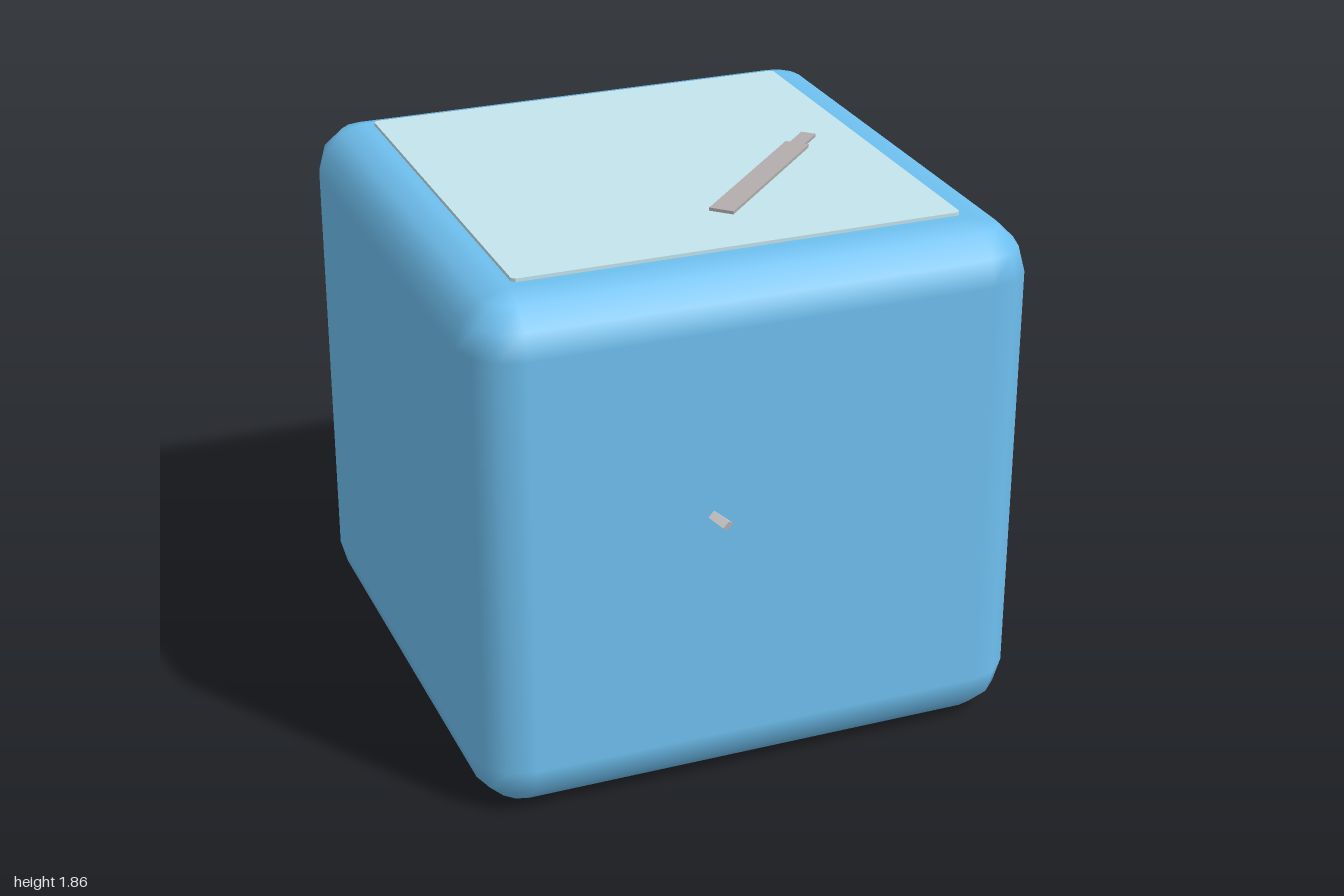
import * as THREE from 'three';

const mat = (color) => new THREE.MeshStandardMaterial({ color });

// Rounded box: a sphere grid with 30-degree steps whose octants are pulled apart
function roundedBox(w, h, d, r) {
  const geo = new THREE.PlaneGeometry(1, 1, 16, 9);
  const pos = geo.attributes.position;
  const nor = geo.attributes.normal;
  const step = Math.PI / 6;
  for (let row = 0; row < 10; row++) {
    const cap = row === 0 || row === 9;
    const k = Math.min(Math.max(row - 1, 0), 7);
    const lower = k > 3;
    const theta = (lower ? k - 1 : k) * step;
    for (let col = 0; col < 17; col++) {
      const quad = Math.floor(col / 4);
      const a = (quad * 3 + (col % 4)) * step;
      const mid = (quad + 0.5) * Math.PI / 2;
      const n = new THREE.Vector3(Math.sin(theta) * Math.sin(a), Math.cos(theta), Math.sin(theta) * Math.cos(a));
      const i = row * 17 + col;
      const spread = cap ? 0 : 1;
      pos.setXYZ(i,
        n.x * r + spread * Math.sign(Math.sin(mid)) * (w / 2 - r),
        n.y * r + (lower ? -1 : 1) * (h / 2 - r),
        n.z * r + spread * Math.sign(Math.cos(mid)) * (d / 2 - r));
      nor.setXYZ(i, n.x, n.y, n.z);
    }
  }
  return geo;
}

// Thin sliver standing out of a face: profile of [distance along, height out]
function sliver(name, from, to, out, profile, width) {
  const start = new THREE.Vector3(...from);
  const along = new THREE.Vector3(...to).sub(start);
  const length = along.length();
  along.normalize();
  const normal = new THREE.Vector3(...out);
  const side = new THREE.Vector3().crossVectors(along, normal);
  const shape = new THREE.Shape([[0, -0.02], [length, -0.02], [length, 0],
    ...profile.map(([s, o]) => [s * length, o]).reverse(), [0, 0]]
    .map(([x, y]) => new THREE.Vector2(x, y)));
  const geo = new THREE.ExtrudeGeometry(shape, { depth: width, bevelEnabled: false });
  geo.translate(0, 0, -width / 2);
  geo.applyMatrix4(new THREE.Matrix4().makeBasis(along, normal, side).setPosition(start));
  const mesh = new THREE.Mesh(geo, mat(0xcccccc));
  mesh.name = name;
  return mesh;
}

export function createModel() {
  const model = new THREE.Group();
  model.name = 'roundedCube';

  // Main block
  const body = new THREE.Mesh(roundedBox(1.96, 1.84, 1.96, 0.18), mat(0x6fc0f0));
  body.name = 'body';
  body.position.set(-0.02, 0.92, -0.01);
  model.add(body);

  // Top panel with slightly clipped corners
  const s = 0.775, c = 0.012;
  const outline = new THREE.Shape([[-s, c - s], [c - s, -s], [s - c, -s], [s, c - s],
    [s, s - c], [s - c, s], [c - s, s], [-s, s - c]].map(([x, y]) => new THREE.Vector2(x, y)));
  const panelGeo = new THREE.ExtrudeGeometry(outline, { depth: 0.032, bevelEnabled: false });
  panelGeo.rotateX(-Math.PI / 2);
  const panel = new THREE.Mesh(panelGeo, mat(0xc3e5ec));
  panel.name = 'topPanel';
  panel.position.set(-0.022, 1.82, -0.015);
  model.add(panel);

  // Diagonal bar on the panel, with a narrower tip
  const bar = new THREE.Group();
  bar.name = 'diagonalBar';
  bar.rotation.y = Math.PI / 4;
  for (const [name, a, b, width] of [['barShaft', -0.325, 0.366, 0.086], ['barTip', 0.366, 0.476, 0.054]]) {
    const part = new THREE.Mesh(new THREE.BoxGeometry(b - a, 0.022, width), mat(0xb3adad));
    part.name = name;
    part.position.set((a + b) / 2, 1.852, 0.353);
    bar.add(part);
  }
  model.add(bar);

  // Slivers on the left side and on the front
  model.add(
    sliver('longSideSliver', [0.96, 1.335, 0.59], [0.96, 1.055, 0.155], [1, 0, 0], [[0.19, 0.039], [0.96, 0.018]], 0.024),
    sliver('shortSideSliver', [0.96, 0.858, -0.185], [0.96, 0.735, -0.352], [1, 0, 0], [[0.18, 0.039]], 0.024),
    sliver('frontSliver', [-0.21, 1.022, 0.97], [-0.142, 0.962, 0.97], [0, 0, 1], [[0.65, 0.02]], 0.03),
  );
  return model;
}
